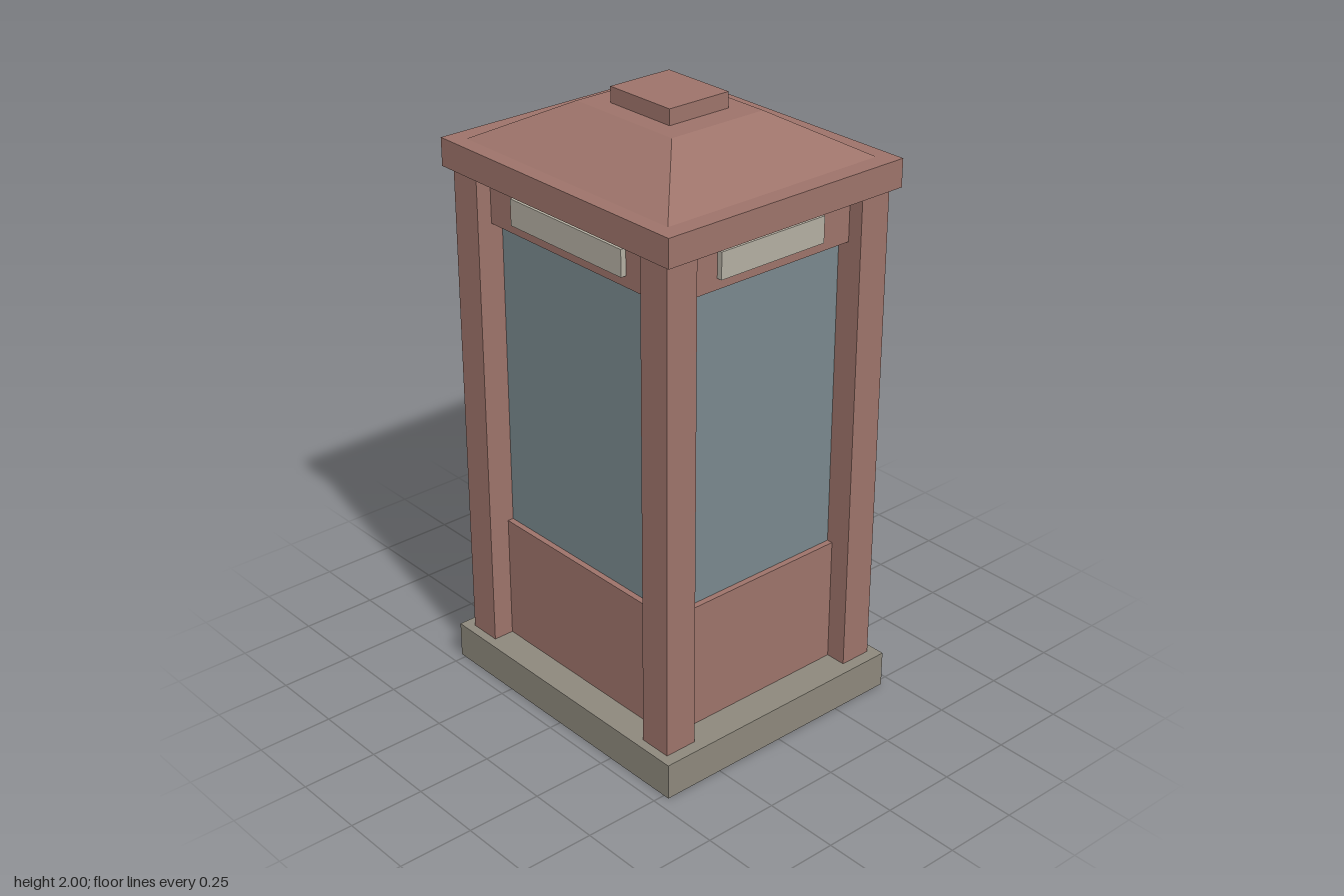
import * as THREE from 'three';

export function createModel() {
  const group = new THREE.Group();
  const paint = (name, color, side = THREE.FrontSide) =>
    Object.assign(new THREE.MeshStandardMaterial({ color, side }), { name });
  const red = paint('faded red paint', 0x9d736a);
  const stone = paint('stone grey', 0x8d887c, THREE.DoubleSide);
  const glass = paint('blue grey glass', 0x79888d);
  const cream = paint('pale sign', 0xb3aea1);

  function add(name, geometry, material, x = 0, y = 0, z = 0) {
    const mesh = new THREE.Mesh(geometry, material);
    mesh.name = name;
    mesh.position.set(x, y, z);
    group.add(mesh);
    return mesh;
  }
  // Box given by half width, half depth and its lower and upper heights
  const block = (name, hx, hz, y0, y1, material, x = 0, z = 0) =>
    add(name, new THREE.BoxGeometry(hx * 2, y1 - y0, hz * 2), material, x, (y0 + y1) / 2, z);

  // Plinth: a shell that is open underneath
  const plinth = new THREE.BoxGeometry(1.04, 0.12, 0.92);
  const index = Array.from(plinth.index.array);
  index.splice(18, 6);
  plinth.setIndex(index);
  plinth.clearGroups();
  add('plinth', plinth, stone, 0, 0.06, 0);

  // Corner posts
  for (const sx of [-1, 1]) for (const sz of [-1, 1])
    block('cornerPost', 0.055, 0.055, 0.12, 1.73, red, sx * 0.425, sz * 0.375);

  // Walls, each layer set back a little from the posts
  block('lowerPanels', 0.41, 0.36, 0.12, 0.54, red);
  block('windows', 0.39, 0.34, 0.54, 1.57, glass);
  block('lintels', 0.43, 0.38, 1.57, 1.73, red);

  // Sign plates on all four sides
  for (const s of [-1, 1]) {
    block('signPlate', 0.25, 0.01, 1.605, 1.69, cream, 0, s * 0.388);
    block('signPlate', 0.01, 0.2, 1.605, 1.69, cream, s * 0.438, 0);
  }

  // Roof: eave slab, hipped slope and cap
  block('eave', 0.51, 0.45, 1.73, 1.82, red);
  const hip = new THREE.BoxGeometry(0.9, 0.13, 0.8).toNonIndexed();
  const p = hip.attributes.position;
  for (let i = 0; i < p.count; i++)
    if (p.getY(i) > 0) {
      p.setX(i, Math.sign(p.getX(i)) * 0.21);
      p.setZ(i, Math.sign(p.getZ(i)) * 0.175);
    }
  hip.computeVertexNormals();
  add('hippedRoof', hip, red, 0, 1.885, 0);
  block('roofCap', 0.13, 0.113, 1.95, 2, red);

  return group;
}
